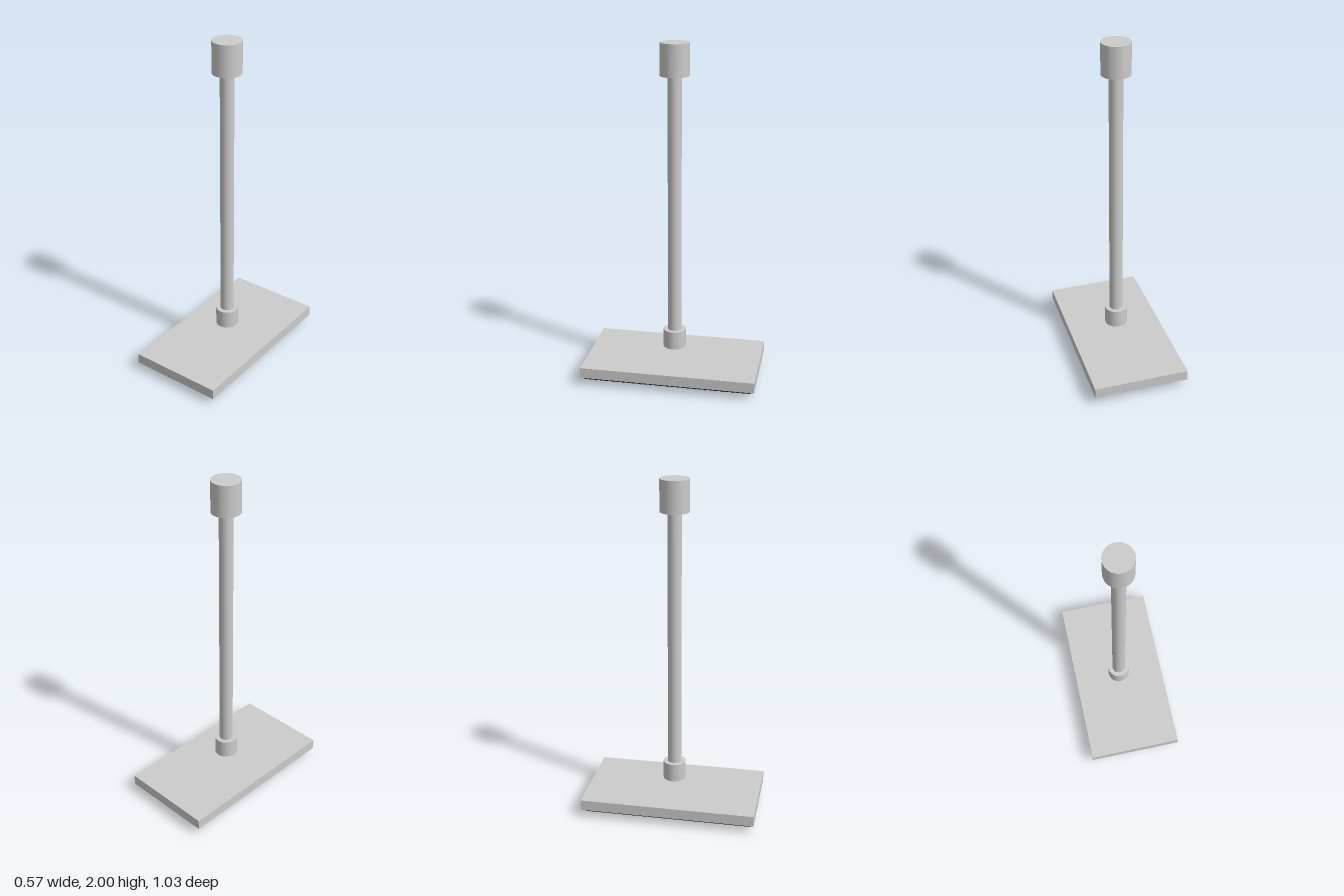
import * as THREE from 'three';

const metal = new THREE.MeshStandardMaterial({ color: 0xcccccc });
const rubber = new THREE.MeshStandardMaterial({ color: 0x1a1a1a });

export function createModel() {
  const model = new THREE.Group();
  model.name = 'ceilingShowerHead';

  const add = (name, geometry, material, y, x = 0, z = 0, parent = model) => {
    const mesh = new THREE.Mesh(geometry, material);
    mesh.name = name;
    mesh.position.set(x, y, z);
    parent.add(mesh);
  };
  // Upright cylinder between two heights
  const post = (name, radius, y0, y1) =>
    add(name, new THREE.CylinderGeometry(radius, radius, y1 - y0, 48), metal, (y0 + y1) / 2);
  // Flat slab between two heights
  const slab = (name, width, depth, y0, y1, material) =>
    add(name, new THREE.BoxGeometry(width, y1 - y0, depth), material, (y0 + y1) / 2);

  // Ceiling mount, drop pipe and lower collar
  post('ceilingMount', 0.084, 1.816, 2);
  post('dropPipe', 0.04, 0.23, 1.83);
  post('collar', 0.067, 0.175, 0.286);

  // Rectangular head with the dark spray face beneath
  slab('headPlate', 0.566, 1.034, 0.048, 0.111, metal);
  slab('sprayFace', 0.518, 0.994, 0.03, 0.05, rubber);

  // Grid of spray nozzles
  const nozzles = new THREE.Group();
  nozzles.name = 'nozzles';
  model.add(nozzles);
  const nozzle = new THREE.CylinderGeometry(0.005, 0.005, 0.032, 10);
  for (let i = -4; i <= 4; i++) {
    for (let j = -8; j <= 8; j++) {
      add('nozzle', nozzle, rubber, 0.016, i * 0.0513, j * 0.055, nozzles);
    }
  }
  return model;
}
